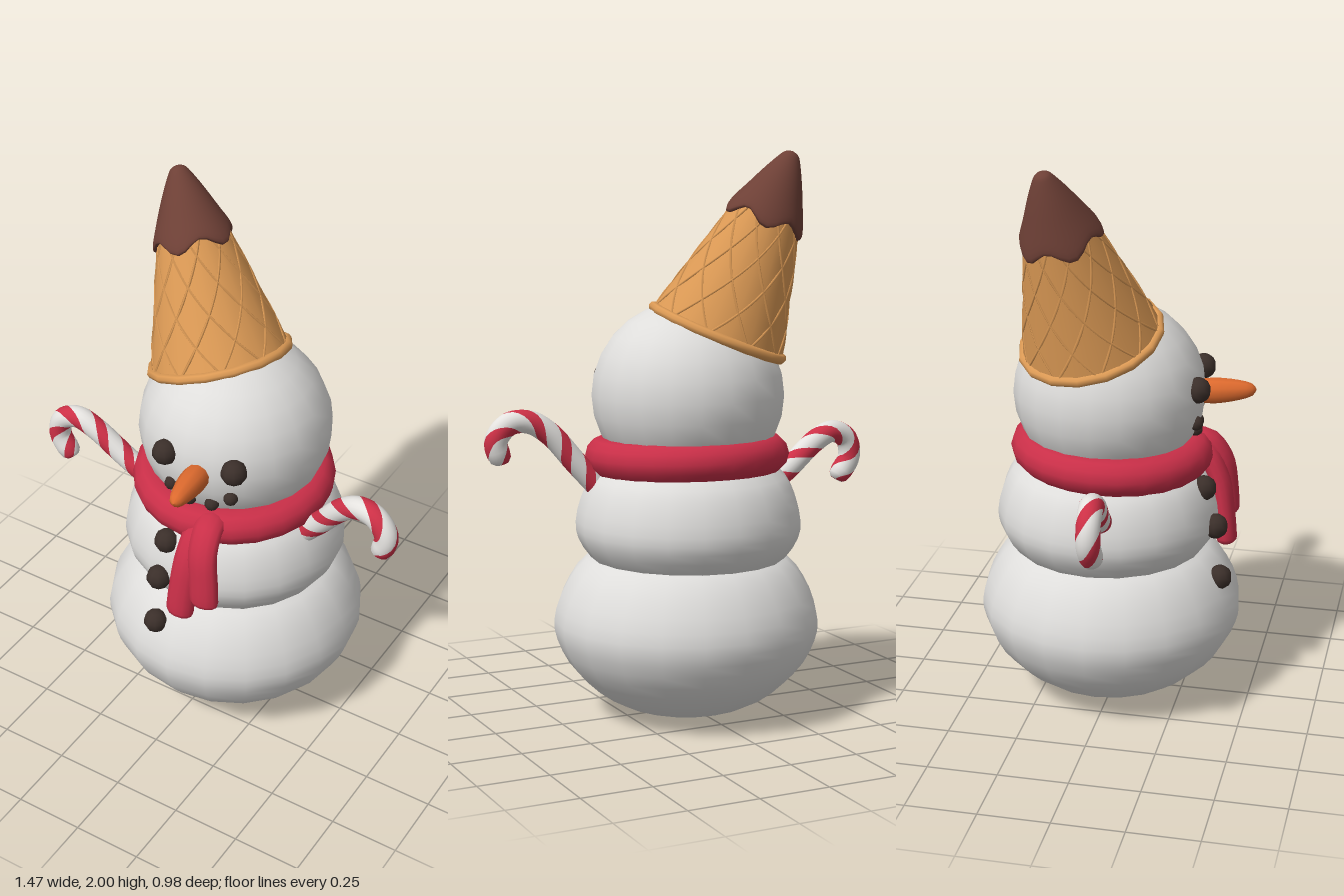
import * as THREE from 'three';

const mat = (name, color, side = THREE.FrontSide) => {
  const m = new THREE.MeshStandardMaterial({ color, side });
  m.name = name;
  return m;
};
const V = (x, y, z) => new THREE.Vector3(x, y, z);

// Smooth lathe through a few [radius, height] points, listed bottom to top
function lathe(points, sides, steps) {
  const curve = new THREE.SplineCurve(points.map(p => new THREE.Vector2(...p)));
  const profile = curve.getPoints(steps);
  profile.forEach(p => { p.x = Math.max(p.x, 0); });
  return new THREE.LatheGeometry(profile, sides);
}

// Round-ended sweep with an elliptical section; ref sets the a-radius direction.
// stripes is a material index per column, twisted along the path.
function sweep(points, ref, a, b, { sides = 12, steps = 24, twist = 0, stripes = null } = {}) {
  const curve = new THREE.CatmullRomCurve3(points);
  const stations = [[0, 0], [0.004, 0.6], [0.025, 0.9]];
  for (let i = 1; i < steps; i++) stations.push([0.06 + 0.88 * (i - 1) / (steps - 2), 1]);
  stations.push([0.975, 0.9], [0.996, 0.6], [1, 0]);
  const pos = [], index = [];
  for (const [t, s] of stations) {
    const p = curve.getPointAt(t), T = curve.getTangentAt(t);
    const B = ref.clone().addScaledVector(T, -ref.dot(T)).normalize();
    const N = T.clone().cross(B);
    for (let j = 0; j < sides; j++) {
      const ang = (j / sides) * Math.PI * 2 + twist * t;
      const q = p.clone().addScaledVector(B, a * s * Math.cos(ang)).addScaledVector(N, b * s * Math.sin(ang));
      pos.push(q.x, q.y, q.z);
    }
  }
  const geo = new THREE.BufferGeometry();
  for (let j = 0; j < sides; j++) {
    const start = index.length, k = (j + 1) % sides;
    for (let i = 0; i < stations.length - 1; i++) {
      const r = i * sides, u = r + sides;
      index.push(r + j, r + k, u + j, r + k, u + k, u + j);
    }
    if (stripes) geo.addGroup(start, index.length - start, stripes[j % stripes.length]);
  }
  geo.setAttribute('position', new THREE.Float32BufferAttribute(pos, 3));
  geo.setIndex(index);
  geo.computeVertexNormals();
  return geo;
}

export function createModel() {
  const snow = mat('snow', 0xdedddb);
  const scarfRed = mat('scarf red', 0xc92f48);
  const candyRed = mat('candy red', 0xcc3046);
  const candyWhite = mat('candy white', 0xe4e2df);
  const waffle = mat('waffle', 0xdc9a55, THREE.DoubleSide);
  const chocolate = mat('chocolate', 0x6e4036, THREE.DoubleSide);
  const coal = mat('coal', 0x3b2f2a);
  const carrot = mat('carrot', 0xdd6a2e);

  const model = new THREE.Group();
  model.name = 'snowman';
  const add = (parent, name, geo, material, x = 0, y = 0, z = 0) => {
    const m = new THREE.Mesh(geo, material);
    m.name = name;
    m.position.set(x, y, z);
    parent.add(m);
    return m;
  };

  // Three snowballs
  add(model, 'lowerBody', lathe([[0, 0.005], [0.14, 0.015], [0.28, 0.065], [0.4, 0.165],
    [0.46, 0.27], [0.473, 0.36], [0.435, 0.47], [0.355, 0.57], [0.2, 0.62], [0, 0.64]], 20, 22),
  snow, 0.025, 0, -0.02);
  add(model, 'middleBody', lathe([[0, 0.47], [0.2, 0.49], [0.33, 0.56], [0.39, 0.64], [0.402, 0.71],
    [0.38, 0.8], [0.33, 0.88], [0.2, 0.96], [0, 0.99]], 20, 18), snow, 0.02, 0, -0.027);
  const head = add(model, 'head', new THREE.SphereGeometry(0.342, 20, 14), snow, 0.02, 1.155, -0.025);
  head.scale.y = 0.96;

  // Face and buttons: [name, x, y, z, radius]
  const lumps = [
    ['rightEye', -0.06, 1.2, 0.305, 0.046], ['leftEye', 0.2, 1.2, 0.28, 0.046],
    ['mouthCoal1', -0.04, 1.07, 0.297, 0.026], ['mouthCoal2', 0.025, 1.025, 0.285, 0.026],
    ['mouthCoal3', 0.108, 1.025, 0.275, 0.026], ['mouthCoal4', 0.178, 1.07, 0.265, 0.026],
    ['topButton', -0.045, 0.83, 0.33, 0.045], ['middleButton', -0.052, 0.69, 0.375, 0.045],
    ['bottomButton', -0.057, 0.495, 0.395, 0.044],
  ];
  for (const [name, x, y, z, r] of lumps) add(model, name, new THREE.SphereGeometry(r, 9, 7), coal, x, y, z);
  const nose = add(model, 'carrotNose', lathe([[0, -0.06], [0.036, -0.04], [0.046, 0.02], [0.045, 0.07],
    [0.036, 0.13], [0.022, 0.175], [0, 0.19]], 10, 12), carrot, 0.07, 1.152, 0.3);
  nose.quaternion.setFromUnitVectors(V(0, 1, 0), V(0.12, 0.06, 1).normalize());

  // Scarf: wrapped ring and two hanging tails
  const scarf = new THREE.Group();
  scarf.name = 'scarf';
  model.add(scarf);
  const ring = add(scarf, 'scarfRing', new THREE.TorusGeometry(0.295, 0.068, 12, 24), scarfRed, 0.02, 0.938, -0.015);
  ring.rotation.x = Math.PI / 2 + 0.04;
  const X = V(1, 0, 0);
  add(scarf, 'upperTail', sweep([V(0.11, 0.95, 0.25), V(0.12, 0.955, 0.31), V(0.13, 0.88, 0.37),
    V(0.145, 0.76, 0.39), V(0.15, 0.665, 0.395)], X, 0.055, 0.036, { steps: 14 }), scarfRed);
  add(scarf, 'lowerTail', sweep([V(0.09, 0.93, 0.26), V(0.08, 0.92, 0.31), V(0.07, 0.83, 0.365),
    V(0.058, 0.7, 0.39), V(0.05, 0.585, 0.402)], X, 0.053, 0.038, { steps: 14 }), scarfRed);

  // Candy cane arms with spiral stripes
  const candy = [candyRed, candyWhite];
  const caneStyle = { sides: 20, steps: 44, twist: 15, stripes: [0, 0, 0, 0, 1, 1, 1, 1, 1, 1] };
  add(model, 'rightCane', sweep([V(-0.29, 0.765, 0.015), V(-0.42, 0.85, 0.03), V(-0.54, 0.94, 0.045),
    V(-0.615, 0.97, 0.052), V(-0.68, 0.94, 0.058), V(-0.695, 0.87, 0.06), V(-0.64, 0.785, 0.062)],
  V(0, 0, 1), 0.041, 0.041, caneStyle), candy);
  add(model, 'leftCane', sweep([V(0.31, 0.8, 0.03), V(0.42, 0.925, 0.05), V(0.51, 1.03, 0.068),
    V(0.58, 1.073, 0.082), V(0.65, 1.068, 0.094), V(0.695, 1.01, 0.102), V(0.672, 0.93, 0.104)],
  V(0, 0, 1), 0.041, 0.041, caneStyle), candy);

  // Tilted ice cream cone hat
  const hat = new THREE.Group();
  hat.name = 'coneHat';
  hat.position.set(-0.075, 1.37, -0.07);
  hat.quaternion.setFromUnitVectors(V(0, 1, 0), V(-0.345, 0.925, -0.161).normalize());
  model.add(hat);
  const coneR = h => 0.246 - 0.274 * h;
  add(hat, 'waffleCone', new THREE.CylinderGeometry(coneR(0.5), coneR(-0.01), 0.51, 20, 4, true), waffle, 0, 0.245, 0);
  const rim = add(hat, 'coneRim', new THREE.TorusGeometry(0.244, 0.018, 8, 16), waffle);
  rim.rotation.x = Math.PI / 2;
  // Crossing waffle ridges
  for (let i = 0; i < 10; i++) {
    for (const dir of [1, -1]) {
      const pts = [];
      for (let k = 0; k <= 8; k++) {
        const h = 0.47 * k / 8, a = i * Math.PI / 5 + dir * 1.5 * k / 8, r = coneR(h) - 0.002;
        pts.push(V(r * Math.sin(a), h, r * Math.cos(a)));
      }
      add(hat, 'waffleRidge', new THREE.TubeGeometry(new THREE.CatmullRomCurve3(pts), 16, 0.005, 4), waffle);
    }
  }
  // Chocolate tip with a wavy dripping edge
  const tip = lathe([[0.118, 0.425], [0.138, 0.425], [0.136, 0.45], [0.105, 0.52], [0.07, 0.595],
    [0.038, 0.655], [0.022, 0.675], [0, 0.682]], 32, 20);
  const p = tip.attributes.position;
  for (let i = 0; i < p.count; i++) {
    const x = p.getX(i), y = p.getY(i), z = p.getZ(i);
    const fade = Math.max(0, 1 - (y - 0.42) / 0.1);
    const dy = 0.022 * fade * Math.cos(5 * Math.atan2(x, z) + 2.2);
    const s = 1 - 1.8 * dy;
    p.setXYZ(i, x * s, y + dy, z * s);
  }
  add(hat, 'chocolateTip', tip, chocolate);

  return model;
}
